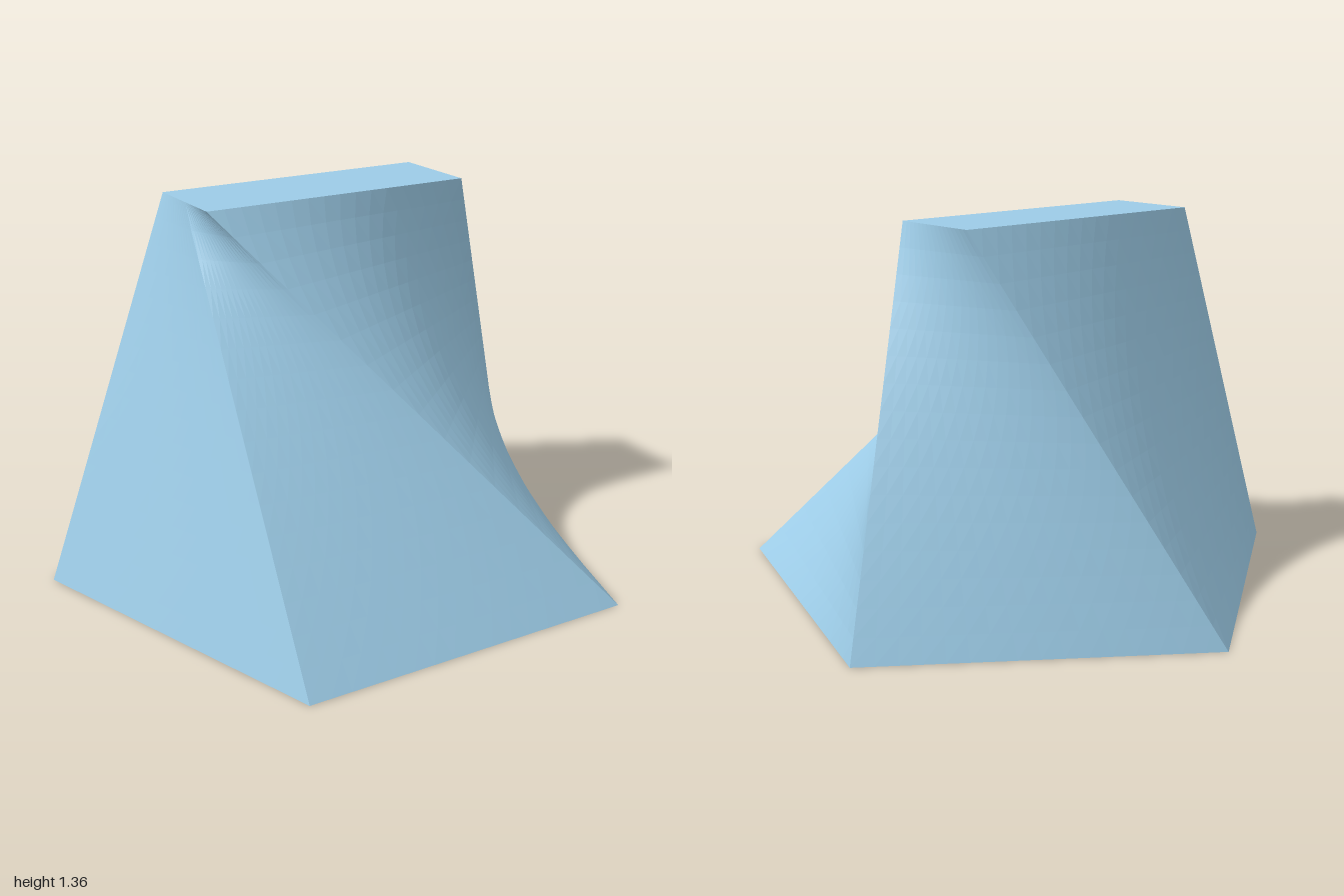
import * as THREE from 'three';

const HEIGHT = 1.36;
const STEPS = 16;

// Matching corners [x, z] of the pentagonal foot and the rectangular top;
// the fifth top point halves the rectangle's short edge.
const foot = [[-1, -0.23], [0, -0.95], [1, -0.23], [0.62, 0.95], [-0.62, 0.95]];
const top = [[-0.51, -0.24], [0.51, -0.24], [0.51, 0.1], [-0.51, 0.1], [-0.51, -0.07]];

const mix = (a, b, t) => a.map((v, i) => v + (b[i] - v) * t);
const at = (p, y) => [p[0], y, p[1]];

function makeMesh(name, positions, material) {
  const geometry = new THREE.BufferGeometry();
  geometry.setAttribute('position', new THREE.Float32BufferAttribute(positions, 3));
  geometry.computeVertexNormals();
  const mesh = new THREE.Mesh(geometry, material);
  mesh.name = name;
  return mesh;
}

// Ruled surface between one foot edge and its matching top edge
function ruledSide(i) {
  const j = (i + 1) % foot.length;
  const point = (u, v) =>
    at(mix(mix(foot[i], foot[j], u), mix(top[i], top[j], u), v), HEIGHT * v);
  const out = [];
  for (let r = 0; r < STEPS; r++) {
    for (let c = 0; c < STEPS; c++) {
      const u0 = c / STEPS, u1 = (c + 1) / STEPS;
      const v0 = r / STEPS, v1 = (r + 1) / STEPS;
      const a = point(u1, v0), b = point(u0, v0), d = point(u0, v1), e = point(u1, v1);
      out.push(...a, ...b, ...d, ...a, ...d, ...e);
    }
  }
  return out;
}

// Flat fan closing one end
function cap(outline, y) {
  const out = [];
  for (let i = 1; i < outline.length - 1; i++) {
    out.push(...at(outline[0], y), ...at(outline[i], y), ...at(outline[i + 1], y));
  }
  return out;
}

export function createModel() {
  const group = new THREE.Group();
  group.name = 'twistedLoft';
  const material = new THREE.MeshStandardMaterial({ color: 0x9ccbe6, flatShading: true });

  const names = ['backRightSide', 'backLeftSide', 'frontLeftSide', 'frontSide', 'frontRightSide'];
  names.forEach((name, i) => group.add(makeMesh(name, ruledSide(i), material)));

  group.add(makeMesh('base', cap(foot, 0), material));
  group.add(makeMesh('topFace', cap([...top].reverse(), HEIGHT), material));
  return group;
}
